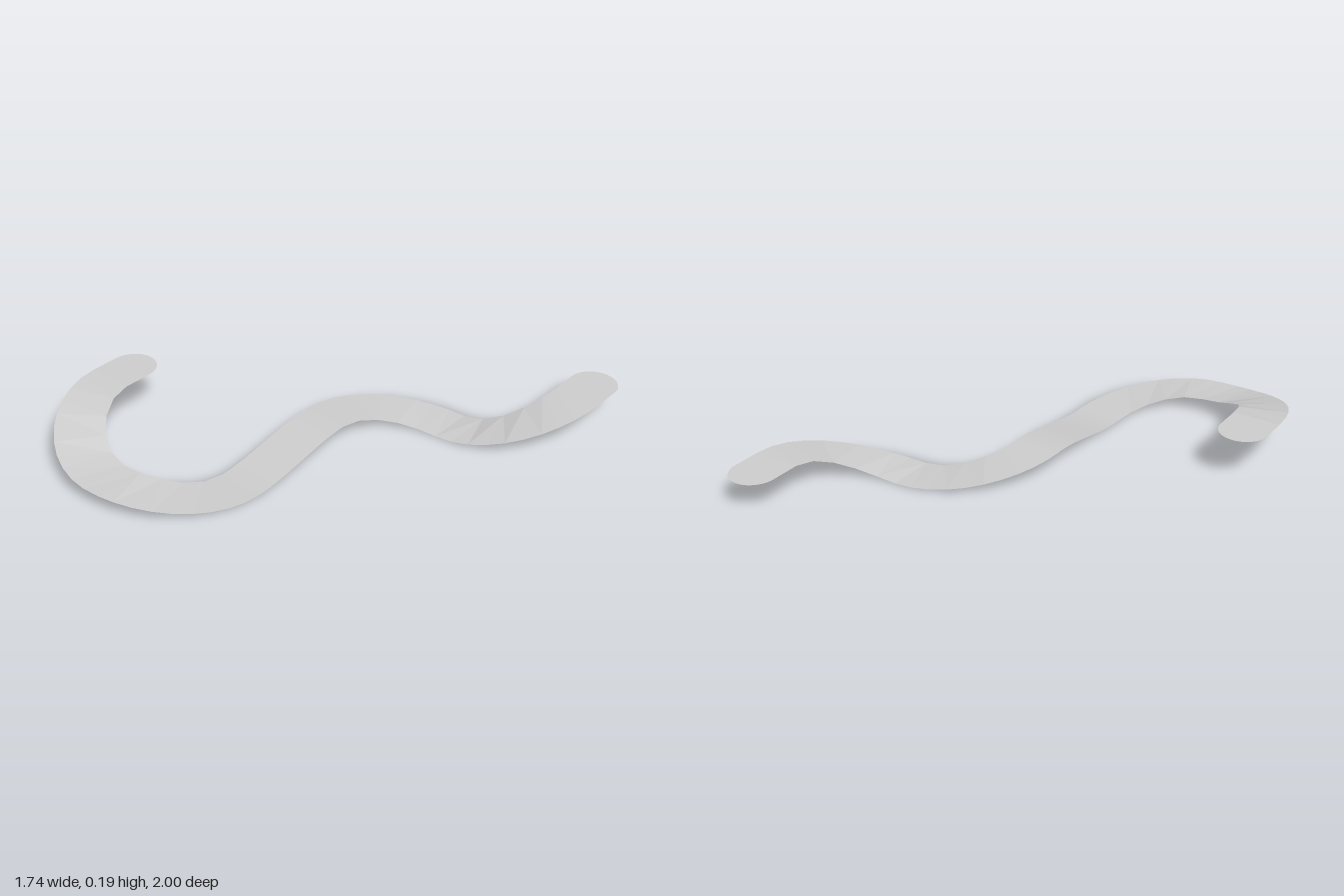
import * as THREE from 'three';

const HALF = 0.105;    // half the track width
const RADIUS = 0.3825; // centre-line radius of every bend

export function createModel() {
  const group = new THREE.Group();
  const stations = []; // left and right edge points along the track
  const smooth = (a, b, t) => a + (b - a) * t * t * (3 - 2 * t);

  const edge = (x, z, heading, side, y) =>
    new THREE.Vector3(x + side * Math.cos(heading), y, z - side * Math.sin(heading));

  // heading 0 runs towards +z, growing anticlockwise seen from above
  const straight = (x, z, heading, length, y0, y1, steps) => {
    for (let i = 0; i <= steps; i++) {
      const t = i / steps, d = length * t, y = smooth(y0, y1, t);
      const px = x + d * Math.sin(heading), pz = z + d * Math.cos(heading);
      stations.push([edge(px, pz, heading, HALF, y), edge(px, pz, heading, -HALF, y)]);
    }
  };

  // Quarter bend; the inner edge has half as many segments as the outer one
  const bend = (cx, cz, heading, turn, y0, y1, steps = 10) => {
    const point = (i, r) => {
      const t = i / steps;
      return edge(cx, cz, heading + turn * t * Math.PI / 2, -turn * r, smooth(y0, y1, t));
    };
    for (let i = 0; i <= steps; i++) {
      const inner = point(Math.round(i / 2) * 2, RADIUS - HALF);
      const outer = point(i, RADIUS + HALF);
      stations.push(turn > 0 ? [inner, outer] : [outer, inner]);
    }
  };

  // Rounded end, from the tip to the full width or back again
  const cap = (x, z, heading, y, closing) => {
    for (let i = 0; i <= 10; i++) {
      const a = (i / 10 + (closing ? 1 : 0)) * Math.PI / 2;
      const d = -HALF * Math.cos(a), w = HALF * Math.sin(a);
      const px = x + d * Math.sin(heading), pz = z + d * Math.cos(heading);
      stations.push([edge(px, pz, heading, w, y), edge(px, pz, heading, -w, y)]);
    }
  };

  const LOW = 0.003, MID = 0.07, HIGH = 0.197, END = 0.131;
  const Q = Math.PI / 2, X = 2 * RADIUS, Z = 0.5125;
  cap(-X, 0.385, 0, HIGH, false);
  straight(-X, 0.385, 0, Z - 0.385, HIGH, HIGH, 1);
  bend(-RADIUS, Z, 0, 1, HIGH, MID);
  bend(-RADIUS, Z, Q, 1, MID, LOW);
  straight(0, Z, 2 * Q, Z, LOW, MID, 12);
  bend(RADIUS, 0, 2 * Q, -1, MID, LOW);
  bend(RADIUS, -X, Q, 1, LOW, END);
  straight(X, -X, 2 * Q, 0.895 - X, END, END, 1);
  cap(X, -0.895, 2 * Q, END, true);

  // Join neighbouring stations, leaving out empty triangles
  const positions = [];
  const triangle = (a, b, c) => {
    if (new THREE.Triangle(a, b, c).getArea() > 1e-7)
      for (const p of [a, b, c]) positions.push(p.x, p.y, p.z);
  };
  for (let i = 1; i < stations.length; i++) {
    const [l0, r0] = stations[i - 1], [l1, r1] = stations[i];
    triangle(l0, r0, l1);
    triangle(r0, r1, l1);
  }
  const geometry = new THREE.BufferGeometry();
  geometry.setAttribute('position', new THREE.Float32BufferAttribute(positions, 3));
  geometry.computeVertexNormals();

  const track = new THREE.Mesh(geometry, new THREE.MeshStandardMaterial({
    color: 0xcccccc, flatShading: true, side: THREE.DoubleSide,
  }));
  track.name = 'windingTrack';
  group.add(track);
  return group;
}
